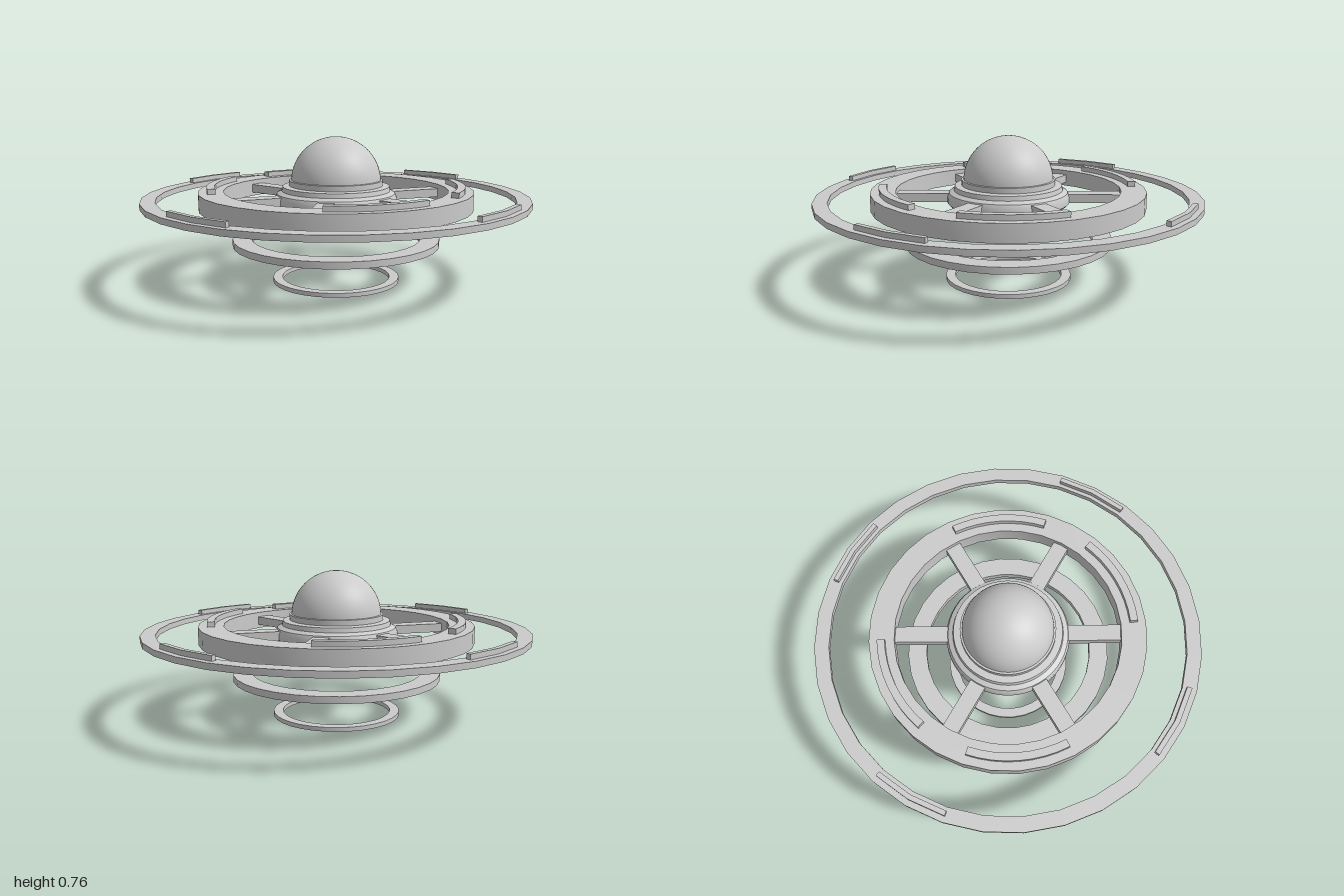
import * as THREE from 'three';
import { toCreasedNormals } from 'three/addons/utils/BufferGeometryUtils.js';

const material = new THREE.MeshStandardMaterial({ color: 0xcccccc });

// Flat annular slab, or a slice of one, lying between two heights.
function annulus(rIn, rOut, y0, y1, start = 0, sweep = Math.PI * 2, segments = 32) {
  const shape = new THREE.Shape();
  const arc = (r, i) => new THREE.Vector2(
    r * Math.cos(start + sweep * i / segments), r * Math.sin(start + sweep * i / segments));
  const steps = [...Array(segments + 1).keys()];
  const outer = steps.map(i => arc(rOut, i));
  const inner = steps.map(i => arc(rIn, i));
  if (sweep > 6.28) {
    shape.setFromPoints(outer.slice(0, -1));
    shape.holes.push(new THREE.Path().setFromPoints(inner.slice(0, -1)));
  } else {
    shape.setFromPoints([...outer, ...inner.reverse()]);
  }
  const geo = new THREE.ExtrudeGeometry(shape, { depth: y1 - y0, bevelEnabled: false });
  geo.rotateX(-Math.PI / 2).translate(0, y0, 0);
  return toCreasedNormals(geo, 0.5);
}

export function createModel() {
  const model = new THREE.Group();
  model.name = 'ringedStation';
  const add = (name, geometry) => {
    const mesh = new THREE.Mesh(geometry, material);
    mesh.name = name;
    model.add(mesh);
    return mesh;
  };

  // Concentric rings, with the two smaller ones floating below
  add('outerRing', annulus(0.925, 1.0, 0.43, 0.46));
  add('mainRing', annulus(0.585, 0.715, 0.4, 0.49));
  add('middleRing', annulus(0.445, 0.545, 0.2, 0.235));
  add('bottomRing', annulus(0.285, 0.335, 0, 0.022));

  // Raised strips: four on the outer ring, four on the main ring
  for (let i = 0; i < 4; i++) {
    add('outerStrip', annulus(0.945, 0.97, 0.455, 0.485, i * Math.PI / 2 - 0.2, 0.4, 2));
  }
  const from = THREE.MathUtils.degToRad(34), sweep = THREE.MathUtils.degToRad(44.5);
  for (const start of [from, Math.PI - from - sweep, Math.PI + from, -from - sweep]) {
    add('mainStrip', annulus(0.63, 0.67, 0.485, 0.517, start, sweep, 8));
  }

  // Six spokes from hub to main ring
  for (let i = 0; i < 6; i++) {
    const spoke = new THREE.BoxGeometry(0.085, 0.045, 0.32);
    spoke.translate(0, 0.443, 0.43);
    add('spoke', spoke).rotation.y = i * Math.PI / 3;
  }

  // Hub with rounded shoulder and stepped collar
  const profile = [[0, 0.405], [0.305, 0.405], [0.32, 0.42], [0.32, 0.45], [0.31, 0.472],
    [0.285, 0.485], [0.28, 0.508], [0.245, 0.512], [0.245, 0.54], [0.23, 0.542]];
  const hub = new THREE.LatheGeometry(profile.map(p => new THREE.Vector2(...p)), 48);
  add('hub', toCreasedNormals(hub, 0.6));

  // Dome
  const dome = new THREE.SphereGeometry(0.235, 48, 20, 0, Math.PI * 2, 0, Math.PI / 2);
  add('dome', dome.translate(0, 0.53, 0));

  return model;
}
